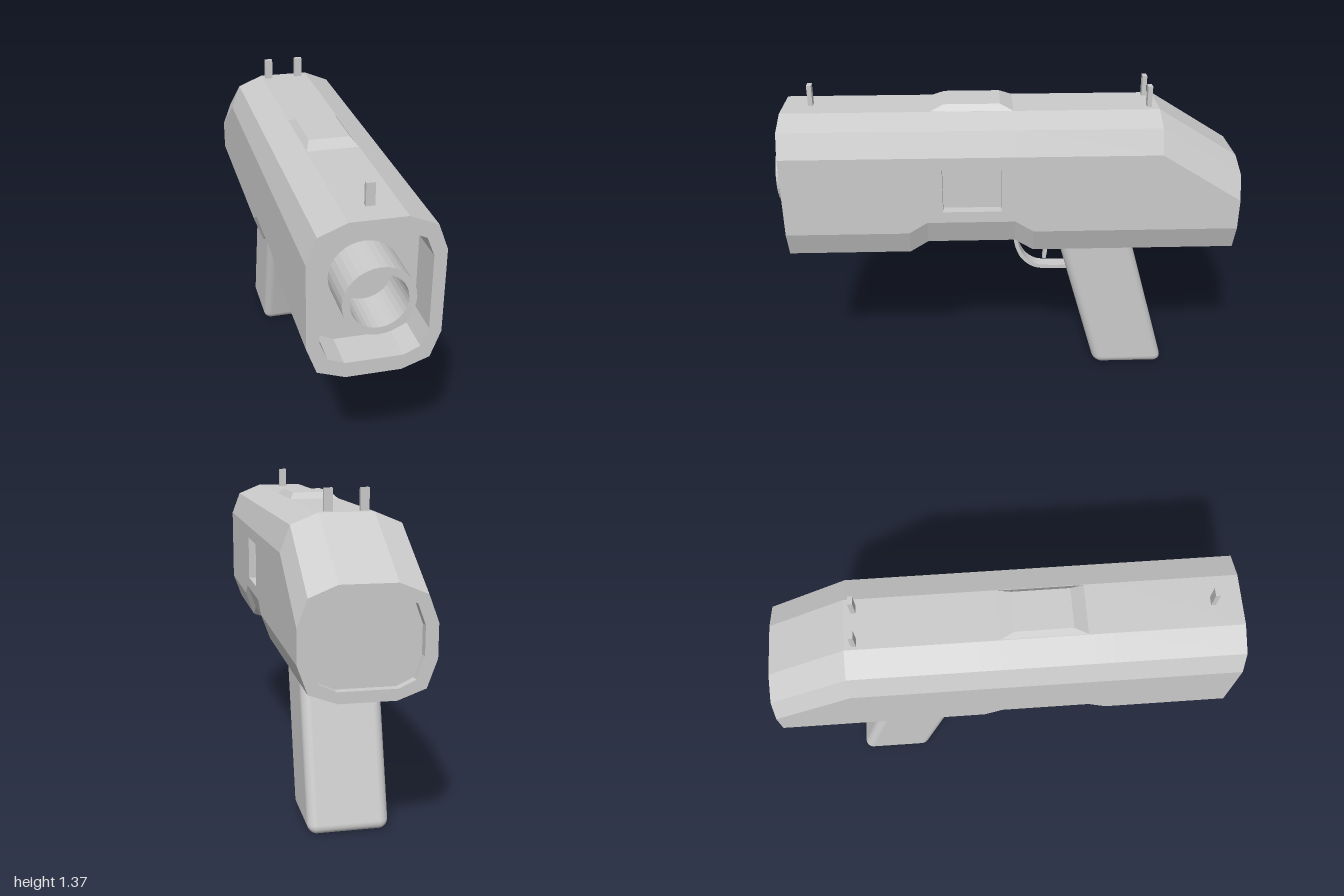
import * as THREE from 'three';
import { RoundedBoxGeometry } from 'three/addons/geometries/RoundedBoxGeometry.js';

const smooth = new THREE.MeshStandardMaterial({ color: 0xcccccc });
const faceted = new THREE.MeshStandardMaterial({ color: 0xcccccc, flatShading: true });

function add(group, name, geometry, material = faceted) {
  const mesh = new THREE.Mesh(geometry, material);
  mesh.name = name;
  group.add(mesh);
  return mesh;
}

// Skin a list of closed rings of [x, y, z]; skip(i, j) leaves a panel open
function loft(rings, { capStart = false, capEnd = true, skip = () => false } = {}) {
  const pos = [];
  const n = rings[0].length;
  const tri = (a, b, c) => pos.push(...a, ...b, ...c);
  for (let i = 0; i < rings.length - 1; i++) {
    for (let j = 0; j < n; j++) {
      if (skip(i, j)) continue;
      const k = (j + 1) % n;
      const [a, b, c, d] = [rings[i][j], rings[i][k], rings[i + 1][k], rings[i + 1][j]];
      tri(a, b, c);
      tri(a, c, d);
    }
  }
  const first = rings[0], last = rings[rings.length - 1];
  for (let j = 1; j < n - 1; j++) {
    if (capStart) tri(first[0], first[j + 1], first[j]);
    if (capEnd) tri(last[0], last[j], last[j + 1]);
  }
  const g = new THREE.BufferGeometry();
  g.setAttribute('position', new THREE.Float32BufferAttribute(pos, 3));
  g.computeVertexNormals();
  return g;
}

// Twelve-sided symmetric section: half widths and heights from bottom to top
function section(z, widths, heights) {
  const half = heights.map((y, i) => [widths[i < 3 ? i : 5 - i], y, z]);
  return [...half, ...half.map(([x, y]) => [-x, y, z]).reverse()];
}

// Strip of constant thickness along a curve of [z, y], centred on x = 0
function strip(points, thickness, width) {
  const curve = new THREE.SplineCurve(points.map(([z, y]) => new THREE.Vector2(-z, y)));
  const left = [], right = [];
  for (let i = 0; i <= 24; i++) {
    const p = curve.getPoint(i / 24), t = curve.getTangent(i / 24);
    const off = new THREE.Vector2(-t.y, t.x).multiplyScalar(thickness / 2);
    left.push(p.clone().add(off));
    right.unshift(p.clone().sub(off));
  }
  const g = new THREE.ExtrudeGeometry(new THREE.Shape([...left, ...right]), { depth: width, bevelEnabled: false });
  return g.translate(0, 0, -width / 2).rotateY(Math.PI / 2);
}

export function createModel() {
  const model = new THREE.Group();
  model.name = 'blaster';

  // Body: raised underside notch, sloping rear, recess at both ends
  const outerW = [0.11, 0.22, 0.26], innerW = [0.115, 0.18, 0.21];
  const outer = (z, lift = 0, drop = 0) => section(z, outerW,
    [0.63 + lift, 0.67 + lift, 0.78 + lift, 1.13 - drop, 1.235 - drop, 1.28 - drop]);
  const frontInner = (z) => section(z, innerW, [0.695, 0.725, 0.8, 1.11, 1.185, 1.215]);
  const rearInner = (z) => section(z, innerW, [0.675, 0.705, 0.79, 0.905, 0.985, 1.015]);
  const body = loft([
    rearInner(-0.965), rearInner(-1),
    outer(-1, 0, 0.217), outer(-0.65), outer(-0.11),
    outer(-0.03, 0.05), outer(0.35, 0.05), outer(0.43), outer(0.96),
    frontInner(0.96), frontInner(0.8),
  ], { capStart: true, skip: (i, j) => i === 5 && j === 2 });
  add(model, 'body', body);

  // Side panel with a shallow window, filling the open panel of the body
  const rect = (x, z0, z1, y0, y1) => [[x, y0, z0], [x, y1, z0], [x, y1, z1], [x, y0, z1]];
  add(model, 'sideWindow', loft([
    rect(0.26, -0.03, 0.35, 0.83, 1.13),
    rect(0.26, 0.03, 0.28, 0.88, 1.075),
    rect(0.215, 0.03, 0.28, 0.88, 1.075),
  ]));

  // Barrel: open tube standing in the front recess
  const tube = [[0.14, 0.78], [0.14, 1], [0.11, 1], [0.11, 0.8], [0, 0.8]]
    .map(([r, y]) => new THREE.Vector2(r, y));
  const barrel = add(model, 'barrel', new THREE.LatheGeometry(tube, 32).rotateX(Math.PI / 2));
  barrel.position.y = 0.973;

  // Raised plate on top, with sloping sides
  const plate = (y, w, z0, z1) => [[-w, y, z1], [w, y, z1], [w, y, z0], [-w, y, z0]];
  add(model, 'topPlate', loft([
    plate(1.275, 0.112, -0.037, 0.34), plate(1.305, 0.087, 0.03, 0.27),
  ]));

  // Sights: one at the front, two at the rear
  for (const [name, x, z] of [['frontSight', 0, 0.843], ['rearSightRight', -0.08, -0.61], ['rearSightLeft', 0.065, -0.61]]) {
    const sight = add(model, name, new THREE.BoxGeometry(0.035, 0.11, 0.02));
    sight.position.set(x, 1.315, z);
  }

  // Grip: rounded block sheared backwards towards its foot
  const shear = new THREE.Matrix4().set(
    1, 0, 0, 0,
    0, 1, 0, 0,
    0, 0.285, 1, -0.584,
    0, 0, 0, 1);
  const grip = new RoundedBoxGeometry(0.335, 0.74, 0.33, 5, 0.04).translate(0, 0.37, 0);
  add(model, 'grip', grip.applyMatrix4(shear), smooth);

  // Trigger guard and trigger
  add(model, 'triggerGuard', strip(
    [[-0.035, 0.7], [-0.045, 0.6], [-0.075, 0.525], [-0.13, 0.48], [-0.2, 0.47], [-0.31, 0.47]], 0.018, 0.06));
  add(model, 'trigger', strip(
    [[-0.15, 0.66], [-0.165, 0.61], [-0.182, 0.56], [-0.177, 0.51]], 0.016, 0.035));

  return model;
}
